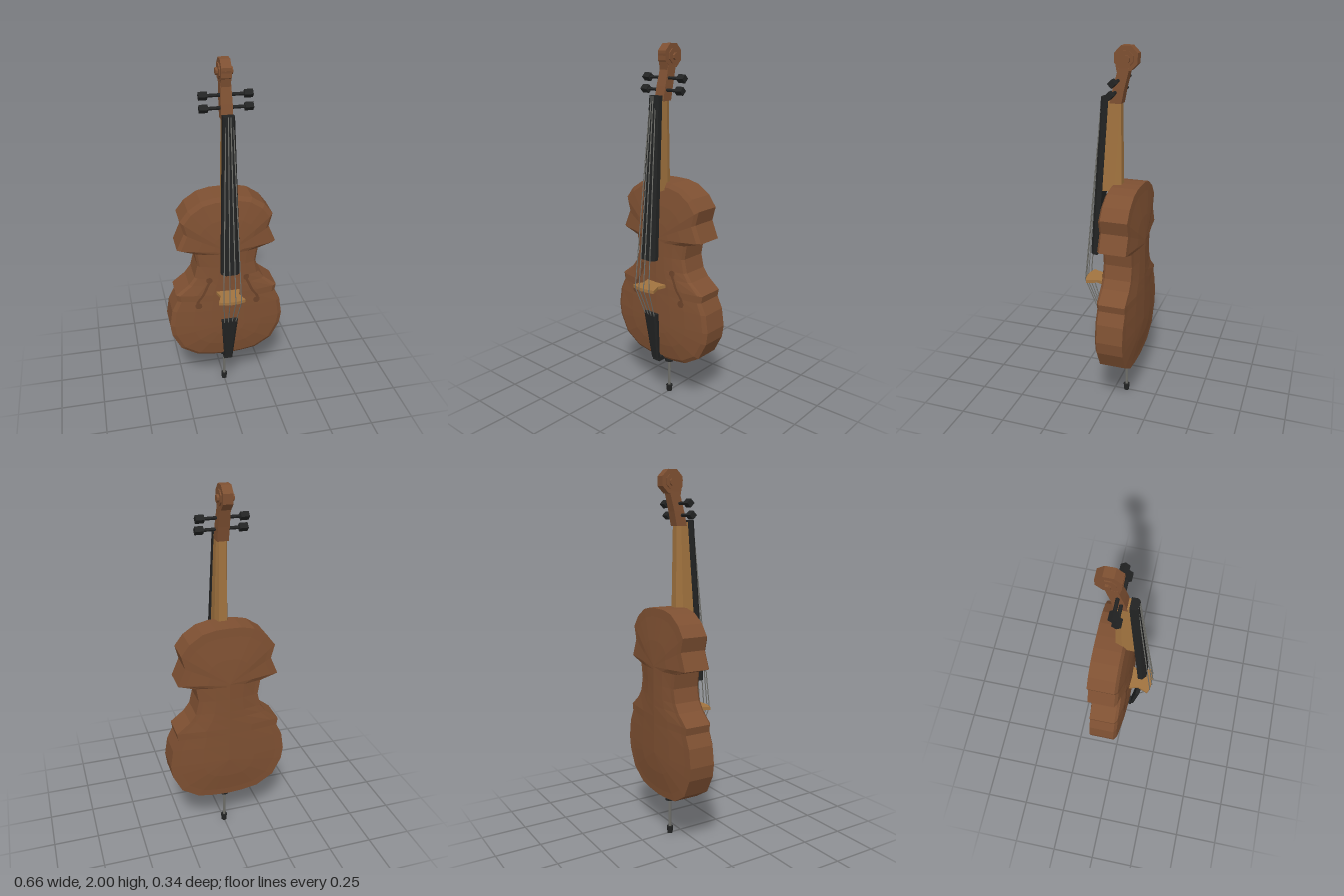
import * as THREE from 'three';

const mat = (name, color, extra = {}) => {
  const m = new THREE.MeshStandardMaterial({ color, flatShading: true, ...extra });
  m.name = name;
  return m;
};

// Skin a list of closed loops; each loop is an array of [x, y, z]
function loft(loops, caps = true) {
  const n = loops[0].length, pos = [];
  const tri = (a, b, c) => pos.push(...a, ...b, ...c);
  for (let j = 0; j < loops.length - 1; j++) {
    for (let i = 0; i < n; i++) {
      const k = (i + 1) % n;
      const a = loops[j][i], b = loops[j][k], c = loops[j + 1][k], d = loops[j + 1][i];
      tri(a, b, c);
      tri(a, c, d);
    }
  }
  if (caps) {
    const first = loops[0], last = loops[loops.length - 1];
    for (let i = 1; i < n - 1; i++) {
      tri(first[0], first[i + 1], first[i]);
      tri(last[0], last[i], last[i + 1]);
    }
  }
  const g = new THREE.BufferGeometry();
  g.setAttribute('position', new THREE.Float32BufferAttribute(pos, 3));
  g.computeVertexNormals();
  return g;
}

// Horizontal section: half width w, from zBack to zFront, corners cut on the front or back
function section(y, w, zBack, zFront, cutFront = 0, cutBack = 0) {
  const d = zFront - zBack;
  return [
    [w * (1 - cutFront), y, zFront], [w, y, zFront - d * cutFront],
    [w, y, zBack + d * cutBack], [w * (1 - cutBack), y, zBack],
    [-w * (1 - cutBack), y, zBack], [-w, y, zBack + d * cutBack],
    [-w, y, zFront - d * cutFront], [-w * (1 - cutFront), y, zFront],
  ];
}

export function createModel() {
  const brown = mat('varnished wood', 0x7e5032);
  const darkBrown = mat('sound hole brown', 0x6a4229, { side: THREE.DoubleSide });
  const light = mat('light maple', 0xa1733f);
  const black = mat('ebony', 0x222323);
  const steel = mat('steel', 0x6f6f6a);

  const group = new THREE.Group();
  const add = (name, geo, material, x = 0, y = 0, z = 0) => {
    const m = new THREE.Mesh(geo, material);
    m.name = name;
    m.position.set(x, y, z);
    group.add(m);
    return m;
  };
  const rod = (name, a, b, r, material, sides = 6) => {
    const p = new THREE.Vector3(...a), q = new THREE.Vector3(...b);
    const m = add(name, new THREE.CylinderGeometry(r, r, p.distanceTo(q), sides), material);
    m.position.copy(p).lerp(q, 0.5);
    m.quaternion.setFromUnitVectors(new THREE.Vector3(0, 1, 0), q.sub(p).normalize());
  };

  // Body: the outline shrinks towards a centre spine as the plates arch
  const half = [
    [0.09, 0.256], [0.175, 0.27], [0.27, 0.33], [0.32, 0.43], [0.33, 0.5], [0.315, 0.6], [0.283, 0.665],
    [0.29, 0.705], [0.215, 0.765], [0.182, 0.81], [0.165, 0.885], [0.178, 0.965],
    [0.275, 0.995], [0.235, 1.09], [0.255, 1.165], [0.21, 1.225], [0.14, 1.272], [0.07, 1.288],
  ];
  const outline = [[0, 0.25], ...half, [0, 1.29], ...half.slice().reverse().map(([x, y]) => [-x, y])];
  const ring = (t, z) => outline.map(([x, y]) => {
    const s = THREE.MathUtils.clamp(y, 0.5, 0.98);
    return [x * (1 - t), y + (s - y) * t, z];
  });
  const body = add('body', loft([
    ring(1, -0.17), ring(0.55, -0.162), ring(0.15, -0.148), ring(0, -0.145),
    ring(0, 0), ring(0.075, 0.015), ring(0.4, 0.032), ring(0.7, 0.041), ring(1, 0.045),
  ], false), brown);

  // Sound holes: ribbons and round ends laid on the arched front
  const ray = new THREE.Raycaster();
  const surface = (x, y) => {
    ray.set(new THREE.Vector3(x, y, 1), new THREE.Vector3(0, 0, -1));
    const hit = ray.intersectObject(body)[0];
    return (hit ? hit.point.z : 0.03) + 0.003;
  };
  for (const s of [1, -1]) {
    const curve = new THREE.CatmullRomCurve3([[0.1, 0.8], [0.118, 0.76], [0.14, 0.71], [0.172, 0.66], [0.168, 0.64]]
      .map(([x, y]) => new THREE.Vector3(s * x, y, 0)));
    const pts = curve.getPoints(12), pos = [], idx = [];
    pts.forEach((p, i) => {
      const w = 0.008;
      for (const e of [-w, w]) pos.push(p.x + e, p.y, surface(p.x + e, p.y));
      if (i) idx.push(2 * i - 2, 2 * i - 1, 2 * i, 2 * i - 1, 2 * i + 1, 2 * i);
    });
    const g = new THREE.BufferGeometry();
    g.setAttribute('position', new THREE.Float32BufferAttribute(pos, 3));
    g.setIndex(idx);
    g.computeVertexNormals();
    add('soundHole', g, darkBrown);
    for (const [x, y, r] of [[0.105, 0.8, 0.018], [0.168, 0.638, 0.02]]) {
      const disc = new THREE.CircleGeometry(r, 10);
      const p = disc.attributes.position;
      for (let i = 0; i < p.count; i++) {
        p.setXYZ(i, s * x + p.getX(i), y + p.getY(i), surface(s * x + p.getX(i), y + p.getY(i)));
      }
      add('soundHoleEnd', disc, darkBrown);
    }
  }

  // Neck and fingerboard
  add('neck', loft([
    section(1.25, 0.036, -0.042, 0.064, 0, 0.35),
    section(1.735, 0.028, -0.035, 0.031, 0, 0.35),
  ]), light);
  add('fingerboard', loft([
    section(0.88, 0.053, 0.088, 0.132, 0.45, 0),
    section(1.745, 0.03, 0.028, 0.07, 0.3, 0),
  ]), black);

  // Pegbox, scroll and scroll eye
  add('pegbox', loft([
    section(1.715, 0.03, -0.04, 0.022),
    section(1.79, 0.03, -0.055, 0.005),
    section(1.89, 0.027, -0.08, -0.022),
  ]), brown);
  add('scrollStem', loft([
    section(1.87, 0.025, -0.035, -0.014),
    section(1.95, 0.025, -0.02, 0.0),
  ]), brown);
  const disc = (r, len, sides, turn = 0) =>
    new THREE.CylinderGeometry(r, r, len, sides).rotateY(turn).rotateZ(Math.PI / 2);
  add('scroll', disc(0.065, 0.052, 8, Math.PI / 8), brown, 0, 1.94, -0.062);
  add('scrollTurn', disc(0.04, 0.064, 8, Math.PI / 8), brown, 0, 1.938, -0.064);
  add('scrollEye', disc(0.019, 0.088, 8, Math.PI / 8), brown, 0, 1.935, -0.067);

  // Tuning pegs
  for (const [y, z] of [[1.83, -0.023], [1.77, -0.008]]) {
    rod('pegShaft', [-0.1, y, z], [0.1, y, z], 0.009, black);
    for (const s of [1, -1]) add('pegHead', disc(0.022, 0.044, 4), black, s * 0.115, y, z);
  }

  // Bridge: waisted plate with a curved crown
  const b = new THREE.Shape();
  b.moveTo(-0.07, 0.03);
  b.lineTo(0.07, 0.03);
  b.lineTo(0.052, 0.09);
  b.lineTo(0.075, 0.15);
  b.quadraticCurveTo(0, 0.18, -0.075, 0.15);
  b.lineTo(-0.052, 0.09);
  const bridge = new THREE.ExtrudeGeometry(b, { depth: 0.018, bevelEnabled: false, curveSegments: 6 });
  add('bridge', bridge.rotateX(Math.PI / 2), light, 0, 0.727, 0);

  // Strings from nut over the bridge to the tailpiece
  for (const k of [-1.5, -0.5, 0.5, 1.5]) {
    const drop = k * k * 0.003;
    const nut = [k * 0.012, 1.745, 0.073 - drop], top = [k * 0.033, 0.718, 0.168 - drop];
    rod('string', nut, top, 0.003, steel, 5);
    rod('stringEnd', top, [k * 0.022, 0.55, 0.1], 0.003, steel, 5);
  }

  // Tailpiece, saddle and endpin
  add('tailpiece', loft([
    section(0.27, 0.024, 0.042, 0.063, 0.3, 0),
    section(0.56, 0.046, 0.078, 0.103, 0.3, 0),
  ]), black);
  add('saddle', new THREE.BoxGeometry(0.05, 0.026, 0.075), black, 0, 0.26, 0.01);
  add('endpinCollar', new THREE.CylinderGeometry(0.03, 0.026, 0.06, 8), black, 0, 0.23, -0.07);
  add('endpin', new THREE.CylinderGeometry(0.008, 0.008, 0.18, 8), steel, 0, 0.12, -0.07);
  add('endpinTip', new THREE.CylinderGeometry(0.019, 0.015, 0.04, 8), black, 0, 0.02, -0.07);

  return group;
}
